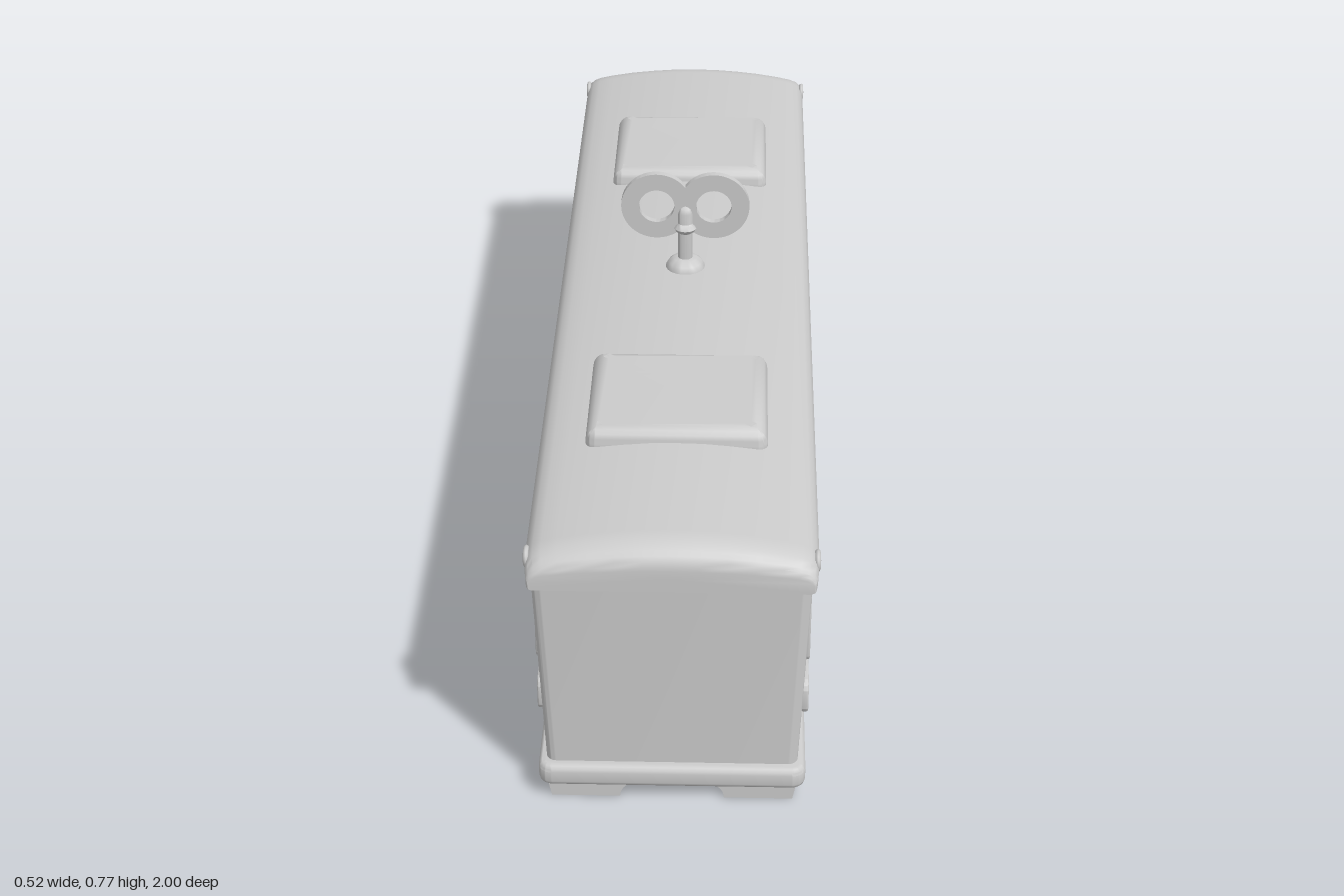
import * as THREE from 'three';
import { toCreasedNormals } from 'three/addons/utils/BufferGeometryUtils.js';

const material = new THREE.MeshStandardMaterial({ color: 0xcccccc, side: THREE.DoubleSide });
const TILT = 0.043;
const wallX = (y) => 0.228 + TILT * (y - 0.06);

function add(parent, name, geometry, x = 0, y = 0, z = 0) {
  const mesh = new THREE.Mesh(geometry, material);
  mesh.name = name;
  mesh.position.set(x, y, z);
  parent.add(mesh);
  return mesh;
}

function roundedRect(w, h, r, Type = THREE.Shape) {
  const s = new Type(), a = w / 2, b = h / 2;
  s.moveTo(a, -b + r);
  s.lineTo(a, b - r);
  s.absarc(a - r, b - r, r, 0, Math.PI / 2);
  s.lineTo(-a + r, b);
  s.absarc(-a + r, b - r, r, Math.PI / 2, Math.PI);
  s.lineTo(-a, -b + r);
  s.absarc(-a + r, -b + r, r, Math.PI, Math.PI * 1.5);
  s.lineTo(a - r, -b);
  s.absarc(a - r, -b + r, r, Math.PI * 1.5, Math.PI * 2);
  return s;
}

// Extrusion whose bevel stays inside the given thickness, from z = 0 upward
function extrude(shape, thickness, bevel = 0, size = bevel, segments = 3) {
  const geo = new THREE.ExtrudeGeometry(shape, {
    depth: thickness - 2 * bevel, bevelEnabled: bevel > 0, bevelThickness: bevel,
    bevelSize: size, bevelOffset: -size, bevelSegments: segments, curveSegments: 8,
  });
  return toCreasedNormals(geo.translate(0, 0, bevel), 0.7);
}

// Skin over equal rings of points, closed at both ends
function loft(rings) {
  const n = rings[0].length, pos = [], idx = [];
  rings.forEach((ring) => ring.forEach((p) => pos.push(p.x, p.y, p.z)));
  for (let i = 0; i < rings.length - 1; i++) {
    for (let j = 0; j < n; j++) {
      const a = i * n + j, b = i * n + (j + 1) % n;
      idx.push(a, b, b + n, a, b + n, a + n);
    }
  }
  [0, rings.length - 1].forEach((r) => {
    const c = new THREE.Vector3();
    rings[r].forEach((p) => c.addScaledVector(p, 1 / n));
    const ci = pos.length / 3;
    pos.push(c.x, c.y, c.z);
    for (let j = 0; j < n; j++) {
      const a = r * n + j, b = r * n + (j + 1) % n;
      idx.push(ci, r ? a : b, r ? b : a);
    }
  });
  const geo = new THREE.BufferGeometry();
  geo.setAttribute('position', new THREE.Float32BufferAttribute(pos, 3));
  geo.setIndex(idx);
  return toCreasedNormals(geo, 0.6);
}

function bodyGeometry() {
  return loft([0.05, 0.48].map((y) => roundedRect(2 * wallX(y), 1.96, 0.018).getPoints(5)
    .slice(1).map((p) => new THREE.Vector3(p.x, y, -p.y))));
}

function roofGeometry() {
  const half = [[0.25, 0.471], [0.256, 0.476], [0.257, 0.505], [0.252, 0.517], [0.243, 0.527],
    [0.228, 0.534], [0.2, 0.541], [0.15, 0.55], [0.1, 0.556], [0.05, 0.56]];
  const profile = [...half, [0, 0.561], ...half.slice().reverse().map(([x, y]) => [-x, y])];
  const steps = [];
  for (let k = 0; k <= 8; k++) {
    const a = (k / 8) * Math.PI / 2;
    steps.push([0.93 + 0.06 * Math.cos(a), Math.sin(a)]);
  }
  const all = [...steps.map(([z, s]) => [-z, s]), ...steps.reverse()];
  return loft(all.map(([z, s]) => profile.map(([x, y]) =>
    new THREE.Vector3(x * (0.97 + 0.03 * s), 0.471 + (y - 0.471) * (0.5 + 0.5 * s), z))));
}

// End wall of the skirt, with an arched notch
function skirtEndShape() {
  const s = new THREE.Shape();
  s.moveTo(-0.227, 0.036);
  s.lineTo(-0.22, 0);
  s.lineTo(-0.095, 0);
  s.bezierCurveTo(-0.095, 0.02, -0.08, 0.033, -0.06, 0.033);
  s.lineTo(0.06, 0.033);
  s.bezierCurveTo(0.08, 0.033, 0.095, 0.02, 0.095, 0);
  s.lineTo(0.22, 0);
  s.lineTo(0.227, 0.036);
  return s;
}

function frameGeometry(w, h, rim, thickness) {
  const s = roundedRect(w, h, 0.02);
  s.holes.push(roundedRect(w - 2 * rim, h - 2 * rim, 0.012, THREE.Path));
  return extrude(s, thickness, 0.003);
}

// Details of one side wall; local z points out of the wall
function buildSide(name) {
  const side = new THREE.Group();
  side.name = name;
  const upright = (label, u, y, w, h) => {
    const base = wallX(y - h / 2) - 0.004;
    add(side, label + 'Frame', frameGeometry(w, h, 0.013, 0.247 - base), u, y, base);
    add(side, label + 'Panel', new THREE.BoxGeometry(w - 0.02, h - 0.02, 0.006), u, y, wallX(y + h / 2) - 0.002);
  };
  for (const s of [-1, 1]) {
    upright('centreWindow', s * 0.065, 0.343, 0.116, 0.168);
    upright('endWindow', s * 0.86, 0.343, 0.108, 0.17);
    upright('vent', s * 0.86, 0.175, 0.114, 0.072);
    for (let i = -1; i <= 1; i++) {
      add(side, 'ventSlat', new THREE.BoxGeometry(0.09, 0.008, 0.012), s * 0.86, 0.175 + i * 0.015, 0.237);
    }
    // Door with two windows, leaning with the wall
    const door = new THREE.Group();
    door.name = 'door';
    door.position.set(s * 0.44, 0.26, wallX(0.26));
    door.rotation.x = TILT;
    add(door, 'doorPanel', new THREE.BoxGeometry(0.325, 0.38, 0.004));
    for (const u of [-0.08, 0.08]) {
      add(door, 'doorWindowFrame', frameGeometry(0.122, 0.168, 0.012, 0.009), u, 0.073, -0.001);
    }
    side.add(door);
    // Corner lamp under the roof edge
    add(side, 'lampRim', new THREE.TorusGeometry(0.015, 0.005, 8, 20), s * 0.94, 0.508, 0.254);
    add(side, 'lamp', new THREE.SphereGeometry(0.01, 12, 8), s * 0.94, 0.508, 0.25);
  }
  add(side, 'pin', new THREE.SphereGeometry(0.004, 8, 6), 0, 0.12, wallX(0.12));
  return side;
}

function buildKey() {
  const key = new THREE.Group();
  key.name = 'windUpKey';
  const profile = [[0.04, 0.55], [0.04, 0.562], [0.034, 0.572], [0.024, 0.58], [0.015, 0.582], [0.015, 0.64],
    [0.02, 0.644], [0.024, 0.651], [0.02, 0.658], [0.016, 0.662], [0.016, 0.685], [0.013, 0.695], [0.007, 0.701], [0, 0.703]];
  const stem = new THREE.LatheGeometry(profile.map((p) => new THREE.Vector2(...p)), 28);
  add(key, 'keyStem', toCreasedNormals(stem, 0.8));
  // Two joined rings
  const c = 0.058, r = 0.072, a = Math.acos(c / r);
  const s = new THREE.Shape();
  s.absarc(c, 0, r, a - Math.PI, Math.PI - a);
  s.absarc(-c, 0, r, a, 2 * Math.PI - a);
  for (const x of [-c, c]) {
    s.holes.push(new THREE.Path().absarc(x, 0, 0.036, 0, Math.PI * 2, true));
  }
  const rings = new THREE.ExtrudeGeometry(s, { depth: 0.014, bevelEnabled: false, curveSegments: 40 });
  add(key, 'keyRings', toCreasedNormals(rings, 0.6), 0, 0.701, -0.007);
  return key;
}

export function createModel() {
  const model = new THREE.Group();
  model.name = 'windUpTrainCar';
  add(model, 'body', bodyGeometry());
  add(model, 'roof', roofGeometry());

  // Bumper trim, also the floor
  add(model, 'baseTrim', extrude(roundedRect(0.486, 2, 0.025), 0.045, 0.012), 0, 0.033).rotation.x = -Math.PI / 2;

  // Hollow skirt below the trim
  for (const s of [-1, 1]) {
    add(model, 'skirtEnd', extrude(skirtEndShape(), 0.03), 0, 0, s * 0.97 - 0.015);
    add(model, 'skirtSide', new THREE.BoxGeometry(0.015, 0.036, 1.94), s * 0.2135, 0.018, 0);
    const unit = extrude(roundedRect(0.335, 0.29, 0.02), 0.08, 0.03, 0.032, 5);
    add(model, 'roofUnit', unit, 0, 0.506, s * 0.515).rotation.x = -Math.PI / 2;
    const side = buildSide(s > 0 ? 'leftSide' : 'rightSide');
    side.rotation.y = s * Math.PI / 2;
    model.add(side);
  }
  model.add(buildKey());
  return model;
}
